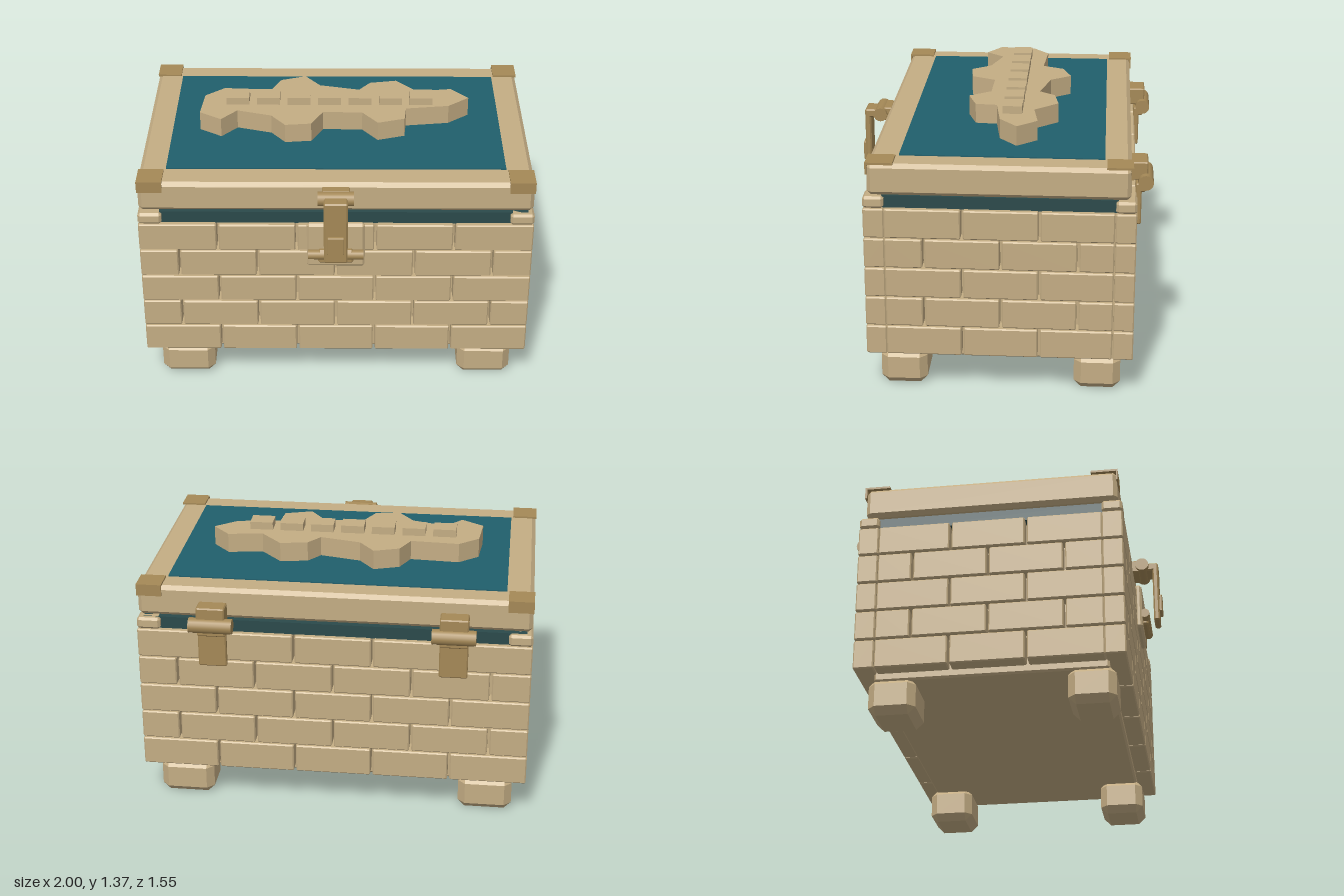
import * as THREE from 'three';
import { ConvexGeometry } from 'three/addons/geometries/ConvexGeometry.js';

export function createModel() {
  const mat = (name, color) => {
    const m = new THREE.MeshStandardMaterial({ color });
    m.name = name;
    return m;
  };
  const stone = mat('sandstone', 0xc4ad84);
  const brass = mat('brass', 0xa58957);
  const teal = mat('teal panel', 0x205f6c);
  const liner = mat('dark teal liner', 0x2b4a4b);

  const chest = new THREE.Group();
  chest.name = 'chest';

  const group = (name, parent = chest) => {
    const g = new THREE.Group();
    g.name = name;
    parent.add(g);
    return g;
  };
  const add = (parent, name, geo, material) => {
    const m = new THREE.Mesh(geo, material);
    m.name = name;
    parent.add(m);
    return m;
  };

  // Box given by its limits, with every edge chamfered by c (c = 0 gives a plain box)
  function block(parent, name, material, [x0, x1], [y0, y1], [z0, z1], c = 0) {
    const size = [x1 - x0, y1 - y0, z1 - z0];
    let geo;
    if (c > 0) {
      const pts = [];
      for (const sx of [-1, 1]) for (const sy of [-1, 1]) for (const sz of [-1, 1]) {
        for (let face = 0; face < 3; face++) {
          const p = [sx, sy, sz].map((s, i) => s * (size[i] / 2 - (i === face ? 0 : c)));
          pts.push(new THREE.Vector3(...p));
        }
      }
      geo = new ConvexGeometry(pts);
    } else geo = new THREE.BoxGeometry(...size);
    const m = add(parent, name, geo, material);
    m.position.set((x0 + x1) / 2, (y0 + y1) / 2, (z0 + z1) / 2);
    return m;
  }

  // Round pin lying along x
  function pin(parent, name, x, y, z, r, length) {
    const geo = new THREE.CylinderGeometry(r, r, length, 16).rotateZ(Math.PI / 2);
    add(parent, name, geo, brass).position.set(x, y, z);
  }

  // Body core and the dark liner that rises above the bricks
  block(chest, 'bodyCore', stone, [-0.92, 0.92], [0.17, 0.99], [-0.6, 0.555], 0.01);
  block(chest, 'liner', liner, [-0.97, 0.97], [0.985, 1.05], [-0.66, 0.615]);

  // Brick courses, alternate rows shifted by half a brick
  const bricks = group('bricks');
  const gap = 0.006;
  const course = (start, end, pitch, shifted) => {
    const cuts = [start];
    for (let p = start + (shifted ? pitch / 2 : pitch); p < end - 0.05; p += pitch) cuts.push(p);
    cuts.push(end);
    return cuts.slice(1).map((b, i) => [cuts[i] + (i ? gap : 0), b - (i < cuts.length - 2 ? gap : 0)]);
  };
  for (let row = 0; row < 5; row++) {
    const y = [0.209 + row * 0.157, 0.359 + row * 0.157];
    for (const span of course(-1, 1, 0.4, row % 2)) {
      block(bricks, 'frontBrick', stone, span, y, [0.54, 0.643], 0.006);
      block(bricks, 'backBrick', stone, span, y, [-0.69, -0.588], 0.006);
    }
    for (const [a, b] of course(-0.54, 0.585, 0.38, row % 2)) {
      for (const x of [[-1, -0.9], [0.9, 1]]) block(bricks, 'sideBrick', stone, x, y, [-b, -a], 0.006);
    }
  }

  // Corner caps on the rim, and the feet
  for (const s of [-1, 1]) {
    const span = (a, b) => (s > 0 ? [a, b] : [-b, -a]);
    for (const z of [[0.54, 0.643], [-0.69, -0.588]]) {
      block(chest, 'rimCorner', stone, span(0.88, 1), [0.99, 1.05], z, 0.012);
    }
    for (const z of [[0.35, 0.585], [-0.63, -0.395]]) {
      block(chest, 'foot', stone, span(0.65, 0.93), [0, 0.19], z, 0.037);
    }
  }

  // Lid with inset panel and brass corners
  const lid = group('lid');
  block(lid, 'lidSlab', stone, [-0.995, 0.995], [1.056, 1.217], [-0.66, 0.62], 0.02);
  block(lid, 'lidPanel', teal, [-0.86, 0.86], [1.215, 1.223], [-0.53, 0.475]);
  for (const s of [-1, 1]) {
    const x = s > 0 ? [0.87, 0.998] : [-0.998, -0.87];
    block(lid, 'cornerPlate', brass, x, [1.215, 1.226], [0.49, 0.625]);
    block(lid, 'cornerFlap', brass, x, [1.165, 1.22], [0.617, 0.625]);
    block(lid, 'cornerPlate', brass, x, [1.215, 1.226], [-0.668, -0.54]);
    block(lid, 'cornerFlap', brass, x, [1.165, 1.22], [-0.668, -0.657]);
  }

  // Raised jagged relief with a row of studs
  const outline = [
    [-0.70, -0.11], [-0.60, -0.195], [-0.35, -0.18], [-0.30, -0.29], [-0.17, -0.335], [-0.09, -0.23],
    [0.12, -0.18], [0.18, -0.26], [0.32, -0.285], [0.43, -0.165], [0.61, -0.19], [0.70, -0.09],
    [0.59, 0], [0.365, 0.03], [0.355, 0.14], [0.215, 0.185], [0.135, 0.075], [-0.07, 0.07],
    [-0.13, 0.195], [-0.265, 0.21], [-0.34, 0.11], [-0.52, 0.055], [-0.60, 0.15], [-0.715, 0.075],
  ];
  const shape = new THREE.Shape(outline.map(([x, z]) => new THREE.Vector2(x, -z)));
  const relief = new THREE.ExtrudeGeometry(shape, { depth: 0.105, bevelEnabled: false });
  add(lid, 'relief', relief.rotateX(-Math.PI / 2), stone).position.y = 1.22;
  for (let i = 0; i < 7; i++) {
    const x = -0.52 + i * 0.161;
    block(lid, 'stud', stone, [x - 0.06, x + 0.06], [1.32, 1.365], [-0.107, -0.008]);
  }

  // Front clasp
  const clasp = group('clasp');
  block(clasp, 'claspPlate', stone, [-0.147, 0.147], [0.757, 1.01], [0.635, 0.672], 0.012);
  block(clasp, 'claspMount', brass, [-0.07, 0.07], [1.13, 1.2], [0.615, 0.66], 0.005);
  pin(clasp, 'claspPin', 0, 1.166, 0.675, 0.036, 0.18);
  block(clasp, 'strapTop', brass, [-0.06, 0.06], [1.14, 1.185], [0.66, 0.762], 0.008);
  block(clasp, 'strap', brass, [-0.06, 0.06], [0.835, 1.165], [0.73, 0.762], 0.008);
  block(clasp, 'strapBoss', brass, [-0.042, 0.042], [0.895, 0.995], [0.755, 0.777], 0.004);
  block(clasp, 'catch', brass, [-0.09, 0.09], [0.795, 0.87], [0.665, 0.7], 0.01);
  pin(clasp, 'catchPin', 0, 0.84, 0.685, 0.025, 0.28);

  // Rear hinges
  for (const x of [-0.61, 0.61]) {
    const hinge = group('hinge');
    const w = [x - 0.072, x + 0.072];
    pin(hinge, 'hingeBarrel', x, 1.047, -0.735, 0.039, 0.22);
    block(hinge, 'upperLeaf', brass, w, [1.05, 1.143], [-0.745, -0.65], 0.006);
    block(hinge, 'lowerLeaf', brass, w, [0.812, 1.03], [-0.716, -0.685], 0.006);
    block(hinge, 'leafNeck', brass, w, [0.985, 1.03], [-0.735, -0.69], 0.006);
  }
  return chest;
}
